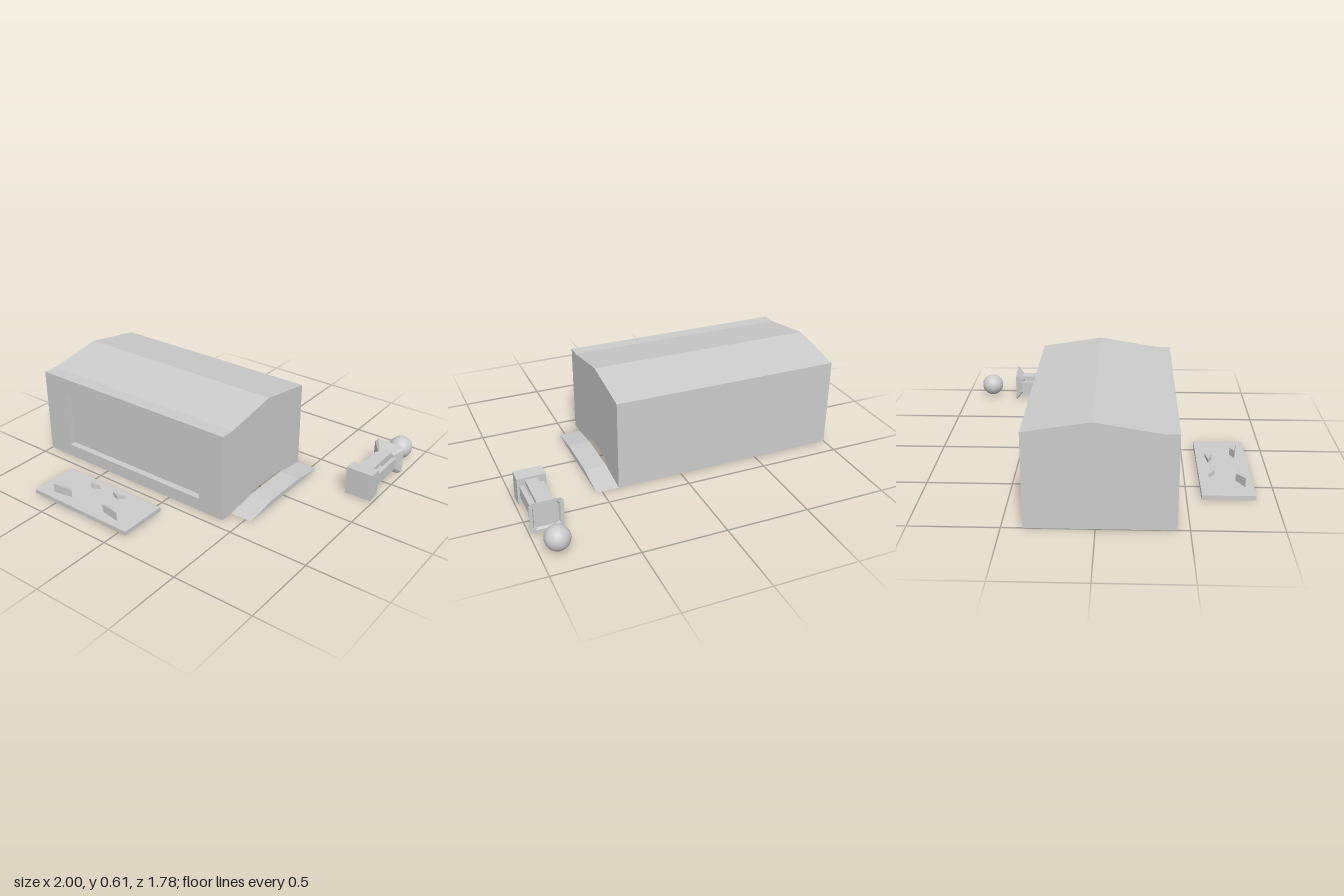
import * as THREE from 'three';

const material = new THREE.MeshStandardMaterial({ color: 0xcccccc });
const flatMaterial = new THREE.MeshStandardMaterial({ color: 0xcccccc, flatShading: true });

const shapeOf = pts => new THREE.Shape(pts.map(p => new THREE.Vector2(...p)));
const rect = (x0, y0, x1, y1) => [[x0, y0], [x1, y0], [x1, y1], [x0, y1]];
const extrude = (shape, depth) => new THREE.ExtrudeGeometry(shape, { depth, bevelEnabled: false });

// Extrudes a [z, y] outline along x, with an optional [z, y] hole.
function alongX(outline, x0, x1, hole) {
  const flip = pts => shapeOf(pts.map(([z, y]) => [-z, y]));
  const shape = flip(outline);
  if (hole) shape.holes.push(flip(hole));
  return extrude(shape, x1 - x0).rotateY(Math.PI / 2).translate(x0, 0, 0);
}

// Extrudes an [x, z] outline upward, with an optional [x, z] hole.
function upward(outline, y0, y1, hole) {
  const flip = pts => shapeOf(pts.map(([x, z]) => [x, -z]));
  const shape = flip(outline);
  if (hole) shape.holes.push(flip(hole));
  return extrude(shape, y1 - y0).rotateX(-Math.PI / 2).translate(0, y0, 0);
}

function add(parent, name, geometry, mat = material) {
  const mesh = new THREE.Mesh(geometry, mat);
  mesh.name = name;
  parent.add(mesh);
  return mesh;
}

function box(parent, name, x0, x1, y0, y1, z0, z1) {
  const geometry = new THREE.BoxGeometry(x1 - x0, y1 - y0, z1 - z0);
  geometry.translate((x0 + x1) / 2, (y0 + y1) / 2, (z0 + z1) / 2);
  return add(parent, name, geometry);
}

// Skins square rings with cut corners, [half size, z], and closes both ends.
function squareLoft(rings, cx, cy) {
  const pos = [], index = [], n = 8;
  for (const [h, z] of rings) {
    const c = h * 0.8;
    for (const [x, y] of [[h, -c], [h, c], [c, h], [-c, h], [-h, c], [-h, -c], [-c, -h], [c, -h]])
      pos.push(cx + x, cy + y, z);
  }
  for (let r = 0; r < rings.length - 1; r++)
    for (let i = 0; i < n; i++) {
      const a = r * n + i, b = r * n + (i + 1) % n;
      index.push(a, a + n, b, b, a + n, b + n);
    }
  const last = (rings.length - 1) * n;
  for (let i = 1; i < n - 1; i++) {
    index.push(0, i, i + 1);
    index.push(last, last + i + 1, last + i);
  }
  const geometry = new THREE.BufferGeometry();
  geometry.setAttribute('position', new THREE.Float32BufferAttribute(pos, 3));
  geometry.setIndex(index);
  return geometry;
}

function buildHouse() {
  const house = new THREE.Group();
  house.name = 'building';
  const recess = 0.04, front = 0.432, back = -0.383, right = 0.398;
  const profile = [[front - recess, 0], [front - recess, 0.55], [0.345, 0.55],
    [-0.015, 0.61], [back, 0.55], [back, 0]];
  add(house, 'mainBody', alongX(profile, -1, right - recess));
  // End wall with the door opening
  add(house, 'doorWall', alongX(profile, right - recess, right, rect(-0.165, 0.03, 0.14, 0.395)));
  // Front wall with the wide window opening
  const wall = shapeOf(rect(-1, 0, right, 0.55));
  wall.holes.push(shapeOf(rect(-0.825, 0.08, 0.225, 0.44)));
  add(house, 'windowWall', extrude(wall, recess).translate(0, 0, front - recess));
  // Entry platform sloping down on both sides
  add(house, 'doorRamp', alongX([[0.345, 0], [0.135, 0.032], [-0.17, 0.032], [back, 0]], right, 0.535));
  return house;
}

function buildPlatform() {
  const platform = new THREE.Group();
  platform.name = 'platform';
  const x0 = -0.667, x1 = 0.057, z0 = 0.583, z1 = 0.887, b = 0.04;
  box(platform, 'deck', x0, x1, 0.02, 0.032, z0, z1);
  add(platform, 'deckRim', upward(rect(x0, z0, x1, z1), 0.005, 0.02,
    rect(x0 + b, z0 + b, x1 - b, z1 - b)));
  // Three-sided blocks, mirrored about the middle, tops falling to the back
  const middle = (x0 + x1) / 2;
  const blocks = [
    ['frontBlock', 0.087, [[-0.255, 0.837], [-0.175, 0.79], [-0.125, 0.815]]],
    ['rearBlock', 0.061, [[-0.14, 0.637], [-0.05, 0.65], [-0.105, 0.674]]],
  ];
  for (const [name, top, corners] of blocks)
    for (const side of [1, -1]) {
      const zMax = Math.max(...corners.map(c => c[1]));
      const geometry = upward(corners.map(([x, z]) => [middle + side * x, z]), 0.03, top);
      const p = geometry.attributes.position;
      for (let i = 0; i < p.count; i++)
        if (p.getY(i) > 0.04) p.setY(i, top - (zMax - p.getZ(i)) * 0.2);
      add(platform, name, geometry, flatMaterial);
    }
  return platform;
}

function buildLauncher() {
  const launcher = new THREE.Group();
  launcher.name = 'launcher';
  const cx = 0.9, cy = 0.093;
  // Front housing, slightly taller toward the front
  add(launcher, 'frontHousing', alongX(
    [[-0.252, 0.002], [-0.252, 0.18], [-0.338, 0.176], [-0.338, 0.01]], 0.814, 0.984));
  // Four separate rails around a hollow middle
  const z0 = -0.6, z1 = -0.33, w = 0.037, inner = 0.045, outer = 0.07;
  box(launcher, 'topRail', cx - w, cx + w, cy + inner, cy + outer, z0, z1);
  box(launcher, 'bottomRail', cx - w, cx + w, cy - outer, cy - inner, z0, z1);
  for (const s of [1, -1]) {
    const a = cx + s * inner, b = cx + s * outer;
    box(launcher, 'sideRail', Math.min(a, b), Math.max(a, b), cy - w, cy + w, z0, z1);
  }
  // Flared back end with a rim and a sunken panel
  add(launcher, 'flaredEnd', squareLoft(
    [[0.052, -0.59], [0.097, -0.632], [0.097, -0.637], [0.077, -0.637], [0.07, -0.622]],
    cx, 0.105), flatMaterial);
  return launcher;
}

export function createModel() {
  const model = new THREE.Group();
  model.name = 'buildingSet';
  model.add(buildHouse(), buildPlatform(), buildLauncher());
  add(model, 'ball', new THREE.SphereGeometry(0.072, 32, 20).translate(0.898, 0.087, -0.818));
  return model;
}
